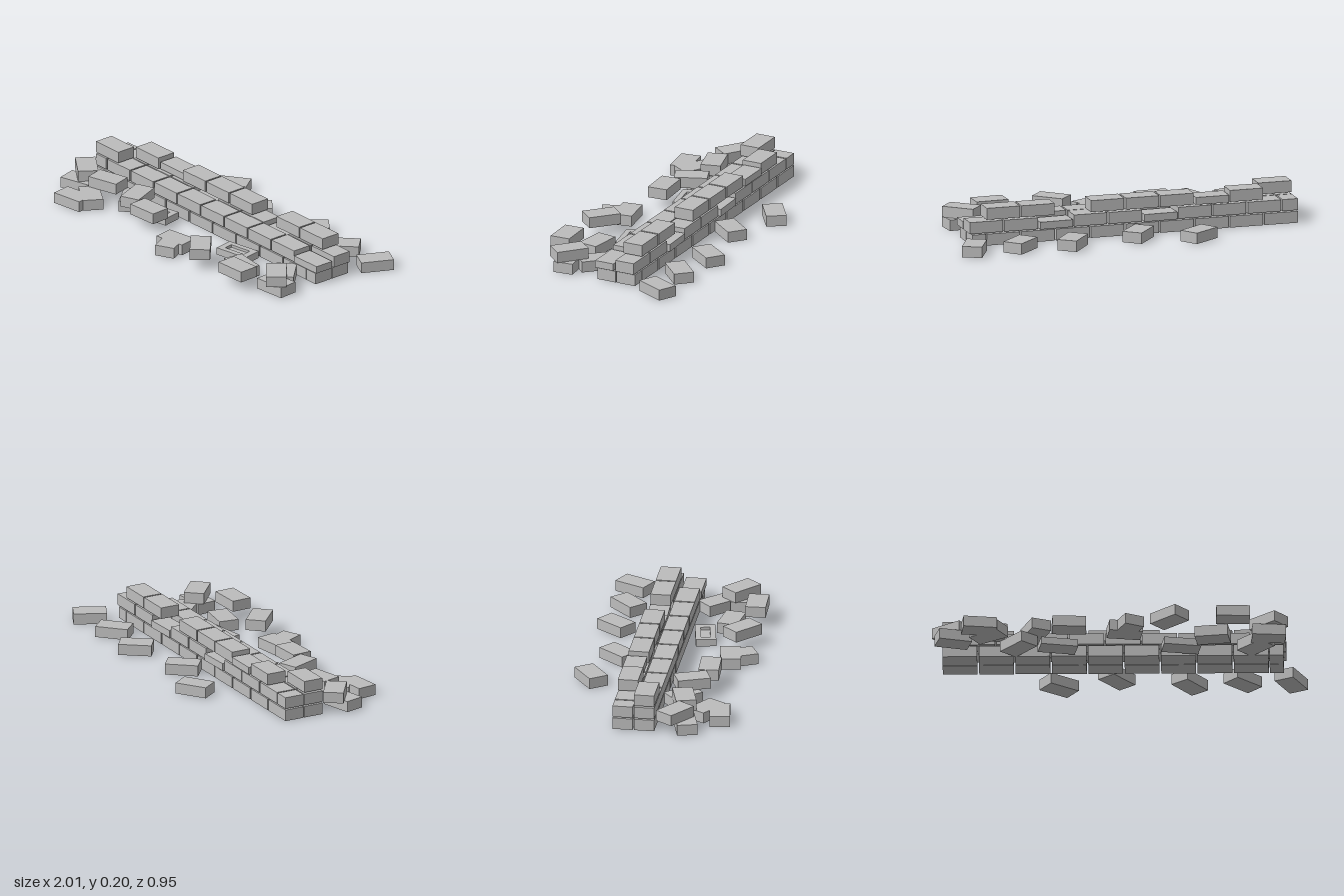
import * as THREE from 'three';

const L = 0.186, H = 0.063, W = 0.11, PITCH = 0.195, THIN = 0.04;

export function createModel() {
  const root = new THREE.Group();
  const stone = new THREE.MeshStandardMaterial({ color: 0xbcbcbc });
  stone.name = 'greyStone';

  const wall = new THREE.Group();
  wall.name = 'wall';
  const rubble = new THREE.Group();
  rubble.name = 'looseBricks';
  root.add(wall, rubble);

  // Brick resting on height y, centred on x, z, turned by deg
  function brick(parent, name, x, y, z, deg = 0, len = L, h = H) {
    const m = new THREE.Mesh(new THREE.BoxGeometry(len, h, W), stone);
    m.name = name;
    m.position.set(x, y + h / 2, z);
    m.rotation.y = THREE.MathUtils.degToRad(deg);
    parent.add(m);
  }

  // Thin brick with a rectangular hollow in its top
  function hollowBrick(x, z, deg) {
    const g = new THREE.Group();
    g.name = 'hollowBrick';
    const rect = (p, w, d) => {
      p.moveTo(-w / 2, -d / 2);
      p.lineTo(w / 2, -d / 2);
      p.lineTo(w / 2, d / 2);
      p.lineTo(-w / 2, d / 2);
      p.closePath();
      return p;
    };
    const shape = rect(new THREE.Shape(), L + 0.015, W);
    shape.holes.push(rect(new THREE.Path(), 0.13, 0.05));
    const rim = new THREE.ExtrudeGeometry(shape, { depth: 0.015, bevelEnabled: false });
    rim.rotateX(-Math.PI / 2);
    const top = new THREE.Mesh(rim, stone);
    top.name = 'hollowRim';
    top.position.y = 0.025;
    const base = new THREE.Mesh(new THREE.BoxGeometry(L + 0.015, 0.025, W), stone);
    base.name = 'hollowBase';
    base.position.y = 0.0125;
    g.add(base, top);
    g.position.set(x, 0, z);
    g.rotation.y = THREE.MathUtils.degToRad(deg);
    rubble.add(g);
  }

  // Two full courses, two bricks deep, with half bricks closing the ends
  for (const z of [-0.001, -0.117]) {
    const back = z < -0.05;
    for (let i = 0; i < 9; i++) {
      brick(wall, 'firstCourseBrick', -0.857 + i * PITCH, 0, z);
      const thin = back ? i === 3 || i === 6 : i === 8;
      const shift = thin ? (back ? -0.01 : 0.007) : 0;
      brick(wall, 'secondCourseBrick', -0.762 + i * PITCH, 0.07, z + shift, thin && back ? 2 : 0,
        L, thin ? THIN : H);
    }
    brick(wall, 'firstCourseHalfBrick', 0.839, 0, z, 0, 0.075);
    brick(wall, 'secondCourseHalfBrick', -0.907, 0.07, z, 0, 0.085);
  }

  // Broken third course
  brick(wall, 'thirdCourseBrick', -0.857, 0.142, -0.001);
  for (const i of [1, 3, 4, 5, 7, 8]) {
    brick(wall, 'thirdCourseBrick', -0.857 + i * PITCH, 0.142, -0.117);
  }
  brick(wall, 'thirdCourseThinBrick', -0.468, 0.142, -0.125, 0, L, THIN);

  // Loose bricks: x, z, turn in degrees, layer
  const loose = [
    [-0.33, -0.38, 35, 0], [-0.02, -0.28, 51, 0], [0.37, -0.35, 53, 0],
    [0.655, -0.325, 44, 0], [0.915, -0.33, 64, 0],
    [-0.9, 0.16, -35, 1], [-0.7, 0.18, 15, 1], [-0.89, 0.215, 15, 0],
    [-0.7, 0.3, -32, 0], [-0.75, 0.38, 8, 0],
    [-0.54, 0.15, -50, 0], [-0.45, 0.185, -68, 1], [-0.27, 0.255, 3, 1],
    [0.03, 0.32, 9, 0], [0.045, 0.365, -64, 0], [0.27, 0.35, -42, 1],
    [0.5, 0.255, -8, 0], [0.61, 0.378, 2, 1],
    [0.73, 0.145, -46, 0], [0.8, 0.265, 5, 0], [0.8, 0.265, -41, 1],
  ];
  for (const [x, z, deg, layer] of loose) {
    brick(rubble, 'looseBrick', x, layer * 0.06, z, deg, L - 0.006, 0.06);
  }
  hollowBrick(-0.33, 0.145, 11);
  hollowBrick(0.33, 0.14, 10);

  return root;
}
